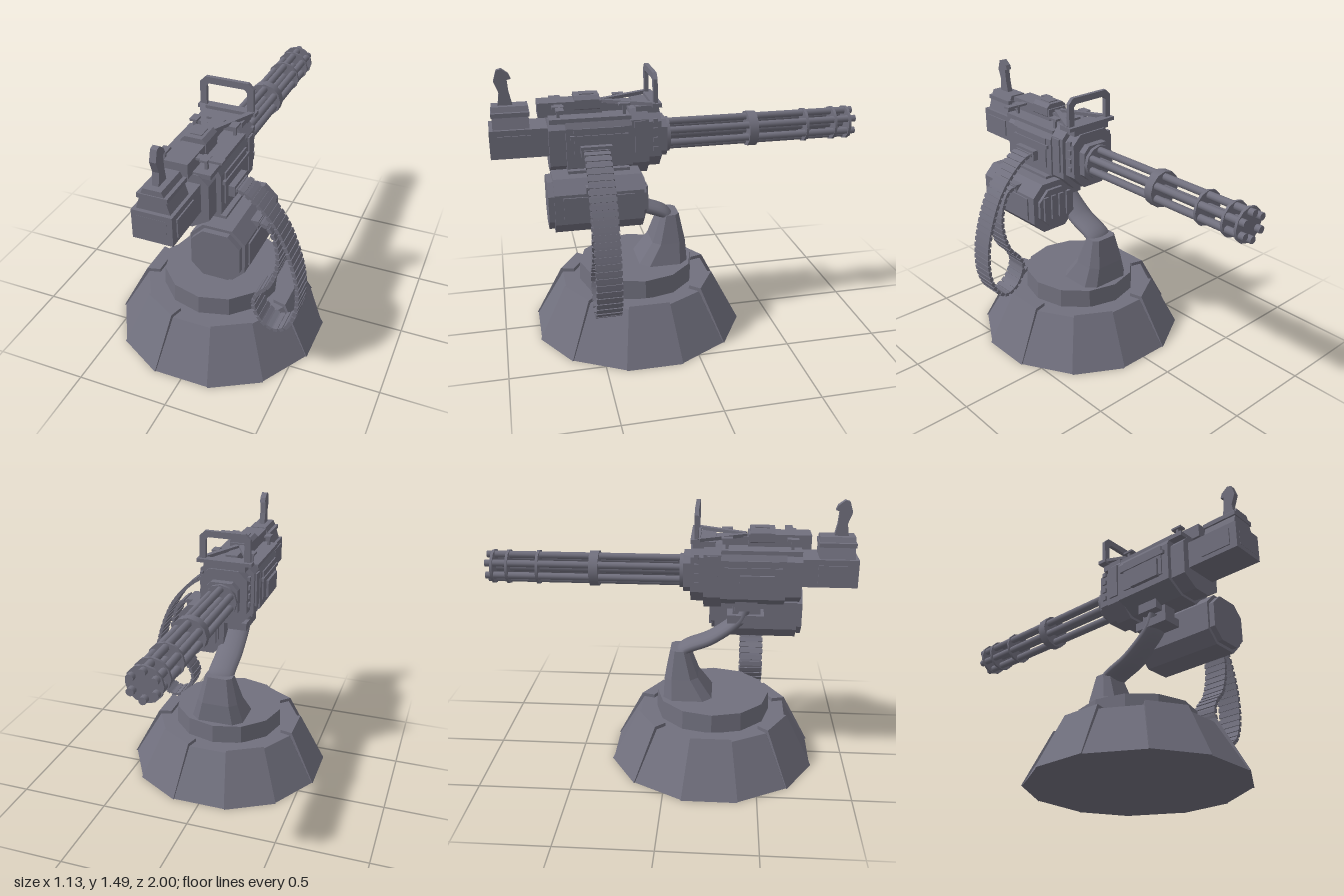
import * as THREE from 'three';

export function createModel() {
  const root = new THREE.Group();
  const metal = new THREE.MeshStandardMaterial({ color: 0x71707e });
  metal.name = 'gunmetal grey';

  const add = (name, geo, parent = root) => {
    const m = new THREE.Mesh(geo, metal);
    m.name = name;
    parent.add(m);
    return m;
  };
  // box given by its limits on each axis
  const box = (name, x0, x1, y0, y1, z0, z1, parent) => {
    const m = add(name, new THREE.BoxGeometry(x1 - x0, y1 - y0, z1 - z0), parent);
    m.position.set((x0 + x1) / 2, (y0 + y1) / 2, (z0 + z1) / 2);
    return m;
  };
  // outline in xy, extruded from z0 to z1
  const prism = (name, pts, z0, z1, parent) => {
    const shape = new THREE.Shape(pts.map(p => new THREE.Vector2(...p)));
    const g = new THREE.ExtrudeGeometry(shape, { depth: z1 - z0, bevelEnabled: false });
    return add(name, g.translate(0, 0, z0), parent);
  };
  // rectangle with cut corners
  const octagon = (x0, x1, y0, y1, c, d = c) => [
    [x0 + d, y0], [x1 - d, y0], [x1, y0 + d], [x1, y1 - c],
    [x1 - c, y1], [x0 + c, y1], [x0, y1 - c], [x0, y0 + d]];
  // flat-faced skin over rings that run counter-clockwise seen from above
  const loft = rings => {
    const v = [], n = rings[0].length;
    const tri = (...ps) => ps.forEach(p => v.push(...p));
    for (let r = 0; r < rings.length - 1; r++)
      for (let i = 0; i < n; i++) {
        const a = rings[r], b = rings[r + 1], j = (i + 1) % n;
        tri(a[i], a[j], b[j]);
        tri(a[i], b[j], b[i]);
      }
    const lo = rings[0], hi = rings[rings.length - 1];
    for (let i = 1; i < n - 1; i++) {
      tri(lo[0], lo[i + 1], lo[i]);
      tri(hi[0], hi[i], hi[i + 1]);
    }
    const g = new THREE.BufferGeometry();
    g.setAttribute('position', new THREE.Float32BufferAttribute(v, 3));
    g.computeVertexNormals();
    return g;
  };
  const ring = (r, y, turn) => Array.from({ length: 12 }, (_, i) => {
    const a = (i + turn) * Math.PI / 6;
    return [r * Math.cos(a), y, -r * Math.sin(a)];
  });

  // twelve-sided base with six raised wedges and an upper drum
  const base = new THREE.Group();
  base.name = 'base';
  base.position.z = 0.25;
  root.add(base);
  add('baseCone', loft([ring(0.578, 0, 0.5), ring(0.42, 0.272, 0.5)]), base);
  add('baseDrum', loft([ring(0.32, 0.26, 0), ring(0.315, 0.377, 0)]), base);
  const rect = (x0, w0, x1, w1, y) => [[x0, y, w0], [x1, y, w1], [x1, y, -w1], [x0, y, -w0]];
  for (let i = 0; i < 6; i++) {
    const w = add('baseWedge', loft([rect(0.33, 0.088, 0.566, 0.15, 0), rect(0.345, 0.092, 0.417, 0.11, 0.292)]), base);
    w.rotation.y = i * Math.PI / 3;
  }

  // tapered pedestal leaning forward
  const pedRing = (w, z0, z1, y, c) => [
    [-w, y, z1 - c], [-w + c, y, z1], [w - c, y, z1], [w, y, z1 - c],
    [w, y, z0 + c], [w - c, y, z0], [-w + c, y, z0], [-w, y, z0 + c]];
  add('pedestal', loft([
    pedRing(0.155, -0.025, 0.25, 0.37, 0.05),
    pedRing(0.12, -0.02, 0.165, 0.49, 0.04),
    pedRing(0.08, 0.01, 0.11, 0.645, 0.025)]));

  // flattened smooth arm up to the gun cradle
  const armPath = new THREE.CatmullRomCurve3([[0.58, 0.06], [0.635, 0.08], [0.71, 0.24], [0.83, 0.39], [0.9, 0.42]]
    .map(([y, z]) => new THREE.Vector3(0, y, z)));
  add('arm', new THREE.TubeGeometry(armPath, 24, 0.036, 16)).scale.x = 2.2;
  box('cradle', -0.075, 0.05, 0.82, 0.865, 0.32, 0.52);
  box('cradleNeck', -0.05, 0.03, 0.86, 0.96, 0.35, 0.5);
  box('cradleLug', -0.1, -0.05, 0.9, 0.99, 0.36, 0.48);

  // receiver
  const gun = new THREE.Group();
  gun.name = 'gun';
  root.add(gun);
  const bodyOutline = [[-0.06, 0.93], [0.06, 0.93], [0.165, 0.99], [0.165, 1.2], [0.14, 1.25], [-0.14, 1.25], [-0.165, 1.2], [-0.165, 0.99]];
  prism('receiver', bodyOutline, 0.28, 0.62, gun);
  prism('receiverRear', [[-0.05, 0.945], [0.05, 0.945], [0.14, 1.0], [0.14, 1.19], [0.09, 1.24], [-0.09, 1.24], [-0.14, 1.19], [-0.14, 1.0]], 0.62, 0.705, gun);
  prism('frontCollarLarge', octagon(-0.155, 0.155, 0.915, 1.275, 0.05, 0.08), 0.19, 0.285, gun);
  prism('frontCollarMiddle', octagon(-0.135, 0.135, 0.945, 1.255, 0.05, 0.07), 0.12, 0.19, gun);
  prism('frontCollarSmall', octagon(-0.095, 0.095, 0.995, 1.195, 0.035), 0.08, 0.12, gun);
  box('topRail', -0.15, 0.15, 1.225, 1.25, 0.28, 0.7, gun);
  box('spine', -0.06, 0.06, 1.24, 1.315, 0.42, 0.75, gun);
  box('spineFront', -0.035, 0.035, 1.24, 1.295, 0.26, 0.42, gun);
  prism('sightBlock', octagon(-0.065, 0.065, 1.27, 1.342, 0.02, 0.005), 0.43, 0.56, gun);
  box('sightCap', -0.03, 0.03, 1.335, 1.347, 0.455, 0.53, gun);

  // side panels, ribs and bolts
  for (const s of [-1, 1]) {
    const side = (name, x0, x1, ...r) => box(name, Math.min(s * x0, s * x1), Math.max(s * x0, s * x1), ...r, gun);
    side('sidePanel', 0.16, 0.173, 1.03, 1.2, 0.32, 0.58);
    side('sideStrip', 0.16, 0.18, 1.145, 1.165, 0.3, 0.6);
    side('collarRib', 0.15, 0.165, 1.03, 1.22, 0.21, 0.265);
    side('rearPanel', 0.09, 0.107, 1.07, 1.165, 0.79, 0.96);
    for (const z of [0.31, 0.65]) {
      side('railPost', 0.1, 0.115, 1.24, 1.3, z - 0.008, z + 0.008);
      side('railPostCap', 0.085, 0.125, 1.297, 1.308, z - 0.03, z + 0.03);
    }
    for (const y of [1.06, 1.11, 1.16, 1.21])
      side('bolt', 0.13, 0.145, y - 0.012, y + 0.012, 0.14, 0.164);
  }
  box('leftBump', -0.187, -0.16, 1.025, 1.125, 0.38, 0.56, gun);
  box('chargingLever', 0.03, 0.192, 1.294, 1.306, 0.625, 0.665, gun);
  box('feedPort', 0.16, 0.205, 1.055, 1.112, 0.39, 0.55, gun);

  // rear grip housing
  box('rearBlock', -0.1, 0.1, 1.045, 1.195, 0.7, 1.0, gun);
  box('rearPlate', -0.072, 0.072, 1.07, 1.17, 0.998, 1.004, gun).position.z = 0.998;
  prism('rearTop', [[-0.085, 1.19], [0.085, 1.19], [0.06, 1.27], [0.045, 1.305], [-0.045, 1.305], [-0.06, 1.27]], 0.795, 0.98, gun);
  box('rearTopBand', -0.075, 0.075, 1.255, 1.278, 0.79, 0.985, gun);

  // trigger grip, drawn in side profile and turned to lie along z
  const grip = prism('triggerGrip', [[0.87, 1.3], [0.945, 1.3], [0.935, 1.37], [0.957, 1.43], [0.94, 1.485],
    [0.915, 1.492], [0.88, 1.465], [0.87, 1.44], [0.89, 1.435], [0.885, 1.37]], -0.016, 0.016, gun);
  grip.rotation.y = -Math.PI / 2;

  // carrying handle with its braces
  prism('carryHandle', [[-0.145, 1.29], [-0.11, 1.29], [-0.11, 1.41], [-0.095, 1.425], [0.095, 1.425], [0.11, 1.41],
    [0.11, 1.29], [0.145, 1.29], [0.145, 1.43], [0.115, 1.46], [-0.115, 1.46], [-0.145, 1.43]], 0.14, 0.162, gun);
  box('handlePlate', -0.157, 0.157, 1.285, 1.305, 0.12, 0.17, gun);
  box('handleFoot', -0.12, 0.12, 1.25, 1.287, 0.13, 0.25, gun);
  for (const s of [-1, 1]) {
    const brace = add('handleBrace', new THREE.BoxGeometry(0.028, 0.018, 0.29), gun);
    brace.position.set(s * 0.075, 1.3, 0.28);
    brace.rotation.y = -s * 0.46;
  }

  // rotary barrels and clamp rings
  const alongZ = (name, r, z0, z1, sides, x = 0, y = 0) => {
    const g = new THREE.CylinderGeometry(r, r, z1 - z0, sides).rotateX(Math.PI / 2);
    add(name, g, gun).position.set(x, 1.095 + y, (z0 + z1) / 2);
  };
  for (let i = 0; i < 6; i++) {
    const a = i * Math.PI / 3 + Math.PI / 6;
    alongZ('barrel', 0.02, -1.0, 0.1, 10, 0.068 * Math.cos(a), 0.068 * Math.sin(a));
  }
  alongZ('barrelCore', 0.026, -0.95, 0.1, 10);
  for (const [z0, z1, r] of [[-0.43, -0.38, 0.098], [-0.722, -0.708, 0.094], [-0.888, -0.874, 0.094], [-0.97, -0.956, 0.094], [0.06, 0.085, 0.095]])
    alongZ('barrelClamp', r, z0, z1, 12);

  // ammunition canister
  const can = new THREE.Group();
  can.name = 'ammoCanister';
  root.add(can);
  prism('canisterBody', octagon(0.04, 0.32, 0.682, 0.97, 0.065), 0.25, 0.705, can);
  prism('canisterRearLid', octagon(0.055, 0.305, 0.7, 0.955, 0.06), 0.7, 0.735, can);
  prism('canisterFrontLid', octagon(0.07, 0.29, 0.72, 0.935, 0.06), 0.232, 0.255, can);
  box('canisterLatch', 0.31, 0.328, 0.76, 0.89, 0.3, 0.66, can);
  box('canisterBracket', 0.04, 0.19, 0.93, 0.985, 0.3, 0.62, can);
  box('canisterOutlet', 0.27, 0.325, 0.895, 0.94, 0.4, 0.545, can);
  for (let i = 0; i < 4; i++)
    box('canisterRib', 0.08 + i * 0.052, 0.11 + i * 0.052, 0.76, 0.9, 0.22, 0.24, can);

  // ammunition belt: a thin band with a row of links
  const belt = new THREE.Group();
  belt.name = 'ammoBelt';
  root.add(belt);
  const path = new THREE.CatmullRomCurve3([[0.19, 1.088], [0.24, 1.078], [0.32, 1.02], [0.42, 0.9], [0.5, 0.71], [0.533, 0.55],
    [0.525, 0.4], [0.48, 0.3], [0.42, 0.267], [0.345, 0.305], [0.298, 0.41], [0.32, 0.475], [0.385, 0.555],
    [0.425, 0.7], [0.41, 0.83], [0.365, 0.91], [0.29, 0.93]].map(([x, y]) => new THREE.Vector3(x, y, 0.472)));
  const links = 100, pts = path.getSpacedPoints(links);
  for (let i = 0; i < links; i++) {
    const a = pts[i], b = pts[i + 1], wide = i % 2 === 0;
    const g = new THREE.BoxGeometry(a.distanceTo(b) * (wide ? 1.35 : 1.1), wide ? 0.02 : 0.01, wide ? 0.135 : 0.125);
    const m = add(wide ? 'beltLink' : 'beltBand', g, belt);
    m.position.addVectors(a, b).multiplyScalar(0.5);
    m.rotation.z = Math.atan2(b.y - a.y, b.x - a.x);
  }
  return root;
}
